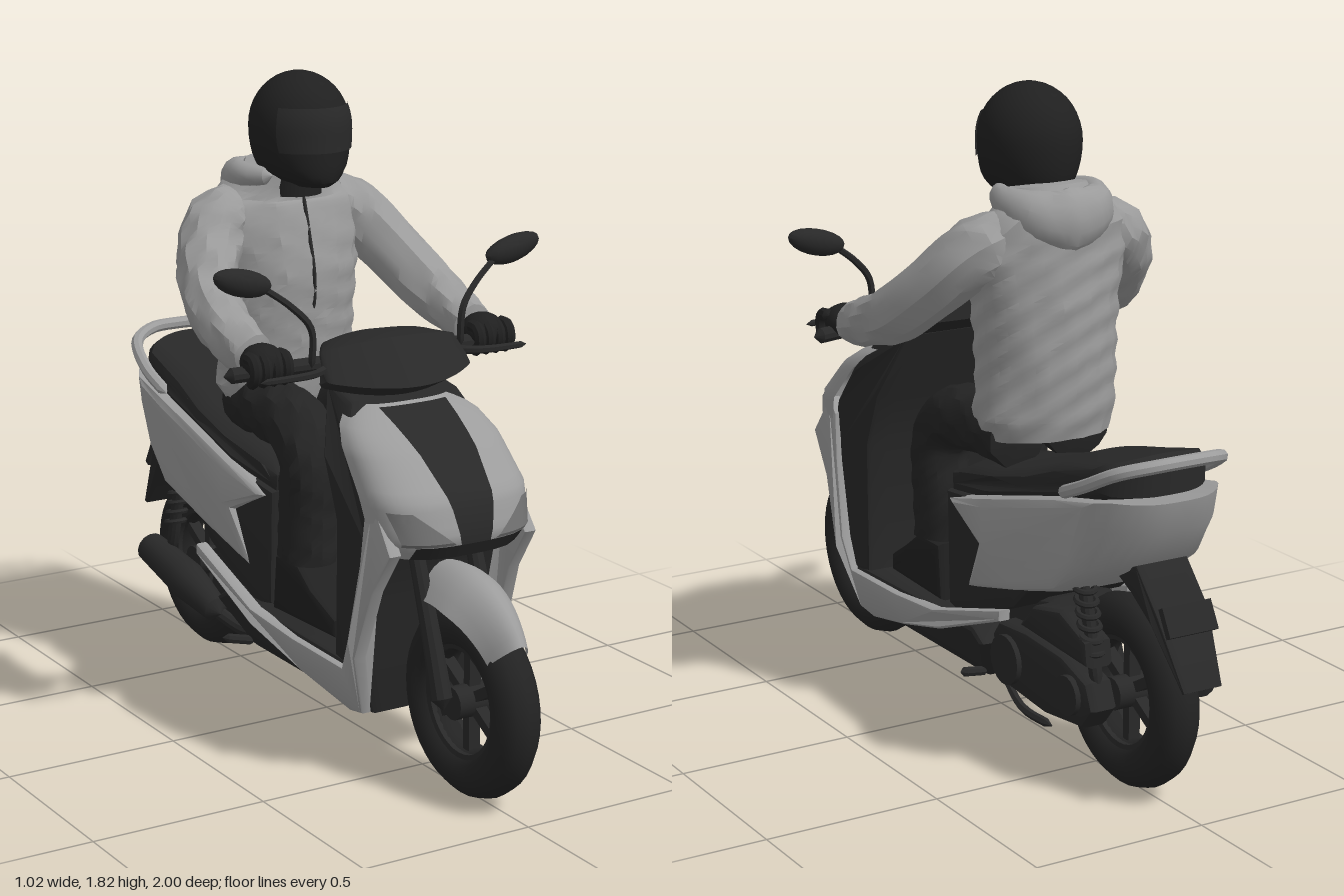
import * as THREE from 'three';
import { toCreasedNormals } from 'three/addons/utils/BufferGeometryUtils.js';

const mat = (name, hex) => {
  const m = new THREE.MeshStandardMaterial({ color: hex, side: THREE.DoubleSide });
  m.name = name;
  return m;
};
const V = (p) => new THREE.Vector3(...p);
const lerp = THREE.MathUtils.lerp;

// Linear lookup in rows [key, v1, v2, ...] with ascending keys
function table(rows, k) {
  let i = 0;
  while (i < rows.length - 2 && k > rows[i + 1][0]) i++;
  const t = THREE.MathUtils.clamp((k - rows[i][0]) / (rows[i + 1][0] - rows[i][0]), 0, 1);
  return rows[i].slice(1).map((v, j) => lerp(v, rows[i + 1][j + 1], t));
}

export function createModel() {
  const root = new THREE.Group();
  root.name = 'scooterAndRider';
  const paint = mat('silverPaint', 0x9c9c9c);
  const cloth = mat('jacketCloth', 0x9a9a9a);
  const plastic = mat('blackPlastic', 0x282828);
  const rubber = mat('tyreRubber', 0x232323);
  const pants = mat('trouserCloth', 0x242424);
  const gear = mat('helmetBlack', 0x202020);
  const steel = mat('discSteel', 0x999999);
  const lens = mat('lampLens', 0x727272);

  const add = (name, geo, m, parent = root, crease = 0.6) => {
    const mesh = new THREE.Mesh(toCreasedNormals(geo, crease), m);
    mesh.name = name;
    parent.add(mesh);
  };
  const warp = (geo, rule) => {
    const p = geo.attributes.position, v = new THREE.Vector3();
    for (let i = 0; i < p.count; i++) {
      rule(v.fromBufferAttribute(p, i));
      p.setXYZ(i, v.x, v.y, v.z);
    }
    return geo;
  };
  const pair = (fn) => [1, -1].forEach(fn);

  // Side outline of [z, y] points, extruded across x
  const slab = (pts, half, bevel = 0.015, cx = 0, steps = 8) => {
    const geo = new THREE.ExtrudeGeometry(new THREE.Shape(pts.map((p) => new THREE.Vector2(...p))), {
      depth: 2 * (half - bevel), steps, bevelEnabled: true, bevelSize: bevel,
      bevelThickness: bevel, bevelOffset: -bevel, bevelSegments: 2,
    });
    return geo.translate(0, 0, bevel - half).rotateY(-Math.PI / 2).translate(cx, 0, 0);
  };

  // Round section swept through points; radii are numbers or [rx, ry, rz]; ends closed
  const sweep = (pts, radii, seg = 16, sides = 10, fold = 0) => {
    const curve = new THREE.CatmullRomCurve3(pts.map(V));
    const geo = new THREE.TubeGeometry(curve, seg, 1, sides);
    const p = geo.attributes.position, d = new THREE.Vector3();
    const rows = radii.map((r, i) => [i / (radii.length - 1), ...(Array.isArray(r) ? r : [r, r, r])]);
    for (let i = 0; i < p.count; i++) {
      const ring = Math.floor(i / (sides + 1)), u = ring / seg;
      const c = curve.getPointAt(u), r = table(rows, curve.getUtoTmapping(u));
      const end = ring === 0 || ring === seg ? 0 : 1;
      d.fromBufferAttribute(p, i).sub(c).multiply(V(r)).multiplyScalar(end);
      const q = c.clone().add(d);
      d.multiplyScalar(1 + fold * Math.sin(q.x * 55 + q.y * 30) * Math.sin(q.y * 48 + q.z * 50 - q.x * 20));
      p.setXYZ(i, c.x + d.x, c.y + d.y, c.z + d.z);
    }
    return geo;
  };

  // Wheels
  const wheel = (name, z) => {
    const g = new THREE.Group();
    g.name = name;
    g.position.set(0, 0.265, z);
    root.add(g);
    add('tyre', new THREE.TorusGeometry(0.2, 0.065, 12, 40).rotateY(Math.PI / 2), rubber, g);
    const rim = [[0.142, -0.04], [0.16, -0.045], [0.16, 0.045], [0.142, 0.04], [0.142, -0.04]];
    add('rim', new THREE.LatheGeometry(rim.map((p) => new THREE.Vector2(...p)), 36).rotateZ(Math.PI / 2), plastic, g);
    add('hub', new THREE.CylinderGeometry(0.045, 0.045, 0.13, 16).rotateZ(Math.PI / 2), plastic, g);
    for (let i = 0; i < 6; i++)
      add('spoke', new THREE.BoxGeometry(0.035, 0.12, 0.028).translate(0, 0.09, 0).rotateX((i * Math.PI) / 3), plastic, g);
    return g;
  };
  const front = wheel('frontWheel', 0.735);
  wheel('rearWheel', -0.67);
  const disc = new THREE.Shape().absarc(0, 0, 0.1, 0, Math.PI * 2);
  for (let i = 0; i < 8; i++) {
    const a = (i * Math.PI) / 4;
    disc.holes.push(new THREE.Path().absarc(0.07 * Math.cos(a), 0.07 * Math.sin(a), 0.01, 0, Math.PI * 2, true));
  }
  add('brakeDisc', new THREE.ExtrudeGeometry(disc, { depth: 0.008, bevelEnabled: false }).rotateY(Math.PI / 2).translate(0.058, 0, 0), steel, front);
  add('brakeCaliper', new THREE.BoxGeometry(0.04, 0.06, 0.04).translate(0.07, 0.05, -0.085), plastic, front);

  // Front fork and mudguard
  pair((s) => add('forkLeg', sweep([[s * 0.09, 0.25, 0.735], [s * 0.09, 0.42, 0.68], [s * 0.09, 0.72, 0.57]], [0.03, 0.026, 0.02]), plastic));
  add('frontMudguard', warp(new THREE.PlaneGeometry(1, 1, 10, 12), (v) => {
    const t = v.y + 0.5, a = lerp(0.74, 1.9, t), w = lerp(0.06, 0.105, Math.min(1, t * 1.6));
    const r = 0.315 + 0.055 * t - 0.36 * v.x * v.x;
    v.set(2 * v.x * w, 0.265 + r * Math.sin(a), 0.725 + r * Math.cos(a));
  }), paint);

  // Front fairing: rows of height, half width, back z, front z
  const noseRows = [[0.66, 0.19, 0.58, 0.715], [0.71, 0.225, 0.58, 0.745], [0.81, 0.237, 0.55, 0.72],
    [0.92, 0.228, 0.45, 0.6], [0.97, 0.205, 0.4, 0.51], [1.01, 0.15, 0.35, 0.43]];
  const noseZ = (x, y) => {
    const [w, zb, zf] = table(noseRows, y);
    return zb + (zf - zb) * Math.pow(Math.max(0, 1 - Math.pow(Math.abs(x) / w, 2.8)), 1 / 2.8);
  };
  add('frontFairing', warp(new THREE.PlaneGeometry(1, 1, 28, 16), (v) => {
    const y = lerp(0.66, 1.01, v.y + 0.5), w = table(noseRows, y)[0];
    const x = w * Math.sin(v.x * Math.PI);
    v.set(x, y, noseZ(x, y));
  }), paint);
  const patch = (name, y0, y1, edges, m) => add(name, warp(new THREE.PlaneGeometry(1, 1, 8, 10), (v) => {
    const t = v.y + 0.5, y = lerp(y0, y1, t), [a, b] = edges(t), x = lerp(a, b, v.x + 0.5);
    v.set(x, y, noseZ(x, y) + 0.007);
  }), m);
  patch('centrePanel', 0.7, 1.005, (t) => [-0.045 - 0.06 * t, 0.045 + 0.06 * t], plastic);
  patch('grille', 0.662, 0.7, () => [-0.165, 0.165], plastic);
  patch('headlampRight', 0.702, 0.79, (t) => [-0.195 - 0.025 * t, -0.06 - 0.11 * t], lens);
  patch('headlampLeft', 0.702, 0.79, (t) => [0.06 + 0.11 * t, 0.195 + 0.025 * t], lens);

  // Leg shield, floor and side trim
  add('legShield', warp(slab([[0.4, 1.02], [0.25, 1.05], [0.33, 0.86], [0.395, 0.7], [0.39, 0.32], [0.5, 0.3],
    [0.54, 0.5], [0.57, 0.66], [0.6, 0.7], [0.57, 0.8], [0.47, 0.92]], 0.215), (v) => {
    if (v.y > 0.92) v.x *= 1 - (v.y - 0.92) * 2.2;
  }), plastic);
  add('floorPan', warp(slab([[0.5, 0.32], [0.46, 0.16], [-0.16, 0.165], [-0.26, 0.3], [-0.2, 0.335]], 0.215), (v) => {
    if (v.y < 0.26) v.x *= 1 - (0.26 - v.y) * 3.6;
  }), plastic);
  pair((s) => add('sideTrim', warp(slab([[0.69, 0.68], [0.6, 0.8], [0.56, 0.76], [0.545, 0.62], [0.5, 0.4], [0.46, 0.31],
    [0.2, 0.315], [-0.02, 0.335], [-0.36, 0.43], [-0.36, 0.4], [-0.04, 0.28], [0.2, 0.215], [0.42, 0.165],
    [0.49, 0.18], [0.54, 0.36], [0.61, 0.56]], 0.02, 0.007, s * 0.216, 1), (v) => {
    v.x *= table([[0.16, 0.76], [0.24, 0.93], [0.35, 1.04], [0.55, 1], [0.8, 0.96]], v.y)[0];
    if (v.z < -0.1) v.x *= 0.93;
  }), paint));

  // Seat base, tail body and seat
  add('seatBase', slab([[0, 0.67], [-0.01, 0.34], [-0.1, 0.32], [-0.36, 0.43], [-0.5, 0.56], [-0.3, 0.7]], 0.18), plastic);
  const tailRound = (v, w, amount) => {
    const k = THREE.MathUtils.clamp((-0.55 - v.z) / 0.3, 0, 1);
    v.z += amount * k * Math.pow(Math.abs(v.x) / w, 3);
  };
  add('tailBody', warp(slab([[-0.02, 0.655], [-0.2, 0.57], [-0.11, 0.415], [-0.37, 0.48], [-0.62, 0.55], [-0.78, 0.64],
    [-0.87, 0.76], [-0.89, 0.845], [-0.62, 0.81], [-0.23, 0.715]], 0.212, 0.03, 0, 12), (v) => {
    tailRound(v, 0.212, 0.13);
    v.x *= table([[-0.9, 0.9], [-0.6, 0.98], [-0.3, 1], [0, 0.9]], v.z)[0] * (v.y < 0.55 ? 0.93 : 1);
  }), paint);
  add('seat', warp(slab([[0, 0.66], [0.005, 0.72], [-0.06, 0.765], [-0.25, 0.805], [-0.4, 0.845], [-0.55, 0.9],
    [-0.8, 0.95], [-0.84, 0.93], [-0.84, 0.85], [-0.62, 0.79], [-0.23, 0.695]], 0.195, 0.03, 0, 12), (v) => {
    tailRound(v, 0.195, 0.1);
    const rim = Math.pow(Math.abs(v.x) / 0.195, 2);
    if (v.z < -0.02 && v.y > 0.73 - 0.2 * v.z) v.y -= 0.03 * rim;
    v.x *= table([[-0.85, 0.86], [-0.55, 0.93], [-0.35, 1], [0, 0.85]], v.z)[0];
  }), plastic);
  add('grabRail', sweep([[0.185, 0.82, -0.6], [0.188, 0.87, -0.72], [0.16, 0.925, -0.83], [0.08, 0.947, -0.885], [0, 0.95, -0.892],
    [-0.08, 0.947, -0.885], [-0.16, 0.925, -0.83], [-0.188, 0.87, -0.72], [-0.185, 0.82, -0.6]], [0.018, 0.018], 36, 8), paint);

  // Rear mudguard, plate holder, shock absorbers
  add('rearMudguard', warp(slab([[-0.7, 0.62], [-0.8, 0.66], [-0.9, 0.55], [-0.995, 0.37], [-0.985, 0.365], [-0.87, 0.52], [-0.78, 0.58]], 0.08, 0.004), (v) => {
    if (v.y < 0.5) v.x *= 1 - (0.5 - v.y) * 2;
  }), plastic);
  add('plateHolder', new THREE.BoxGeometry(0.15, 0.08, 0.02).rotateX(0.5).translate(0, 0.54, -0.925), plastic);
  pair((s) => {
    add('shockRod', sweep([[s * 0.125, 0.6, -0.62], [s * 0.125, 0.28, -0.7]], [0.018, 0.018], 6), plastic);
    for (let i = 0; i < 6; i++)
      add('shockCoil', new THREE.TorusGeometry(0.028, 0.008, 6, 14).rotateX(Math.PI / 2 - 0.24)
        .translate(s * 0.125, 0.56 - i * 0.032, -0.63 - i * 0.008), plastic);
  });

  // Engine, transmission case and exhaust
  add('engineBlock', slab([[-0.1, 0.3], [-0.2, 0.2], [-0.42, 0.17], [-0.5, 0.25], [-0.42, 0.46], [-0.25, 0.42]], 0.11, 0.03), plastic);
  add('transmissionCase', slab([[-0.2, 0.28], [-0.27, 0.19], [-0.5, 0.17], [-0.68, 0.19], [-0.73, 0.25], [-0.7, 0.32],
    [-0.58, 0.36], [-0.4, 0.37], [-0.26, 0.36]], 0.045, 0.02, 0.125), plastic);
  add('airBox', slab([[-0.36, 0.38], [-0.7, 0.36], [-0.69, 0.43], [-0.56, 0.48], [-0.42, 0.45]], 0.045, 0.02, 0.12), plastic);
  [[-0.32, 0.07], [-0.63, 0.055]].forEach(([z, r]) =>
    add('caseCover', new THREE.CylinderGeometry(r, r, 0.02, 18).rotateZ(Math.PI / 2).translate(0.175, 0.27, z), plastic));
  add('exhaustPipe', sweep([[-0.06, 0.24, -0.12], [-0.1, 0.17, -0.25], [-0.14, 0.2, -0.42]], [0.02, 0.02]), plastic);
  add('muffler', sweep([[-0.145, 0.2, -0.36], [-0.15, 0.25, -0.55], [-0.155, 0.3, -0.8]], [0.035, 0.058, 0.045], 16, 14), plastic);
  add('centreStand', sweep([[0.13, 0.2, -0.22], [0.15, 0.14, -0.36], [0.14, 0.13, -0.5]], [0.012, 0.012], 10, 6), plastic);
  pair((s) => add('footPeg', sweep([[s * 0.14, 0.18, -0.16], [s * 0.24, 0.2, -0.18]], [0.014, 0.014], 6, 8), plastic));

  // Handlebar cover, grips, levers and mirrors
  add('handlebarCover', warp(slab([[0.47, 1.055], [0.43, 1.1], [0.365, 1.17], [0.28, 1.175], [0.2, 1.155], [0.2, 1.09], [0.275, 1.04], [0.4, 1.02]], 0.225, 0.012, 0, 12), (v) => {
    const k = Math.abs(v.x) / 0.225;
    v.y = lerp(v.y, 1.1, 0.4 * k * k);
    v.z -= 0.09 * k * k * Math.max(0, (v.z - 0.22) / 0.25);
    v.x *= table([[0.2, 0.62], [0.33, 1]], v.z)[0];
  }), plastic);
  pair((s) => {
    add('grip', sweep([[s * 0.1, 1.1, 0.28], [s * 0.32, 1.095, 0.255], [s * 0.46, 1.09, 0.235]], [0.022, 0.022]), plastic);
    add('brakeLever', sweep([[s * 0.2, 1.1, 0.33], [s * 0.27, 1.1, 0.37], [s * 0.42, 1.095, 0.36]], [0.013, 0.009], 12, 6), plastic);
    add('mirrorStem', sweep([[s * 0.235, 1.1, 0.31], [s * 0.24, 1.21, 0.315], [s * 0.29, 1.27, 0.3], [s * 0.37, 1.33, 0.28]], [0.011, 0.009], 16, 6), plastic);
    add('mirror', warp(new THREE.SphereGeometry(1, 16, 10), (v) => {
      const out = v.x * s, drop = v.y < 0 ? 0.042 : 0.034;
      v.set(s * 0.425 + v.x * 0.087, 1.35 + v.y * drop + out * 0.018, 0.278 + v.z * 0.032);
    }), plastic);
  });

  // Rider: jacket
  const rider = new THREE.Group();
  rider.name = 'rider';
  root.add(rider);
  add('jacketBody', sweep([[0, 0.85, -0.235], [0, 0.93, -0.23], [0, 1.08, -0.23], [0, 1.25, -0.228], [0, 1.38, -0.24], [0, 1.46, -0.25], [0, 1.52, -0.235], [0, 1.57, -0.22]],
    [[0.17, 0.1, 0.13], [0.205, 0.1, 0.15], [0.2, 0.1, 0.16], [0.21, 0.1, 0.163], [0.235, 0.1, 0.142], [0.215, 0.1, 0.125], [0.14, 0.06, 0.11], [0.1, 0.04, 0.095]], 36, 32, 0.04), cloth, rider, 0.5);
  add('hood', sweep([[0.09, 1.53, -0.14], [0.13, 1.52, -0.23], [0.1, 1.49, -0.315], [0, 1.47, -0.345], [-0.1, 1.49, -0.315], [-0.13, 1.52, -0.23], [-0.09, 1.53, -0.14]],
    [[0.02, 0.02, 0.02], [0.035, 0.04, 0.04], [0.05, 0.07, 0.055], [0.06, 0.09, 0.06], [0.05, 0.07, 0.055], [0.035, 0.04, 0.04], [0.02, 0.02, 0.02]], 28, 14, 0.04), cloth, rider);
  add('zip', sweep([[0, 1.15, -0.07], [0, 1.25, -0.065], [0, 1.38, -0.098], [0, 1.48, -0.128]], [0.006, 0.006], 14, 6), plastic, rider);
  pair((s) => {
    add('sleeve', sweep([[s * 0.13, 1.43, -0.25], [s * 0.215, 1.395, -0.23], [s * 0.295, 1.29, -0.14], [s * 0.338, 1.2, -0.02], [s * 0.35, 1.15, 0.11], [s * 0.348, 1.12, 0.22]],
      [0.075, 0.092, 0.084, 0.079, 0.07, 0.056], 30, 18, 0.09), cloth, rider, 0.5);
    // gloves
    add('glove', new THREE.SphereGeometry(1, 14, 10).scale(0.06, 0.05, 0.065).translate(s * 0.35, 1.12, 0.25), gear, rider);
    for (let i = 0; i < 4; i++) {
      const x = s * (0.305 + i * 0.032);
      add('finger', sweep([[x, 1.14, 0.25], [x, 1.135, 0.295], [x, 1.095, 0.305], [x, 1.065, 0.27]], [0.018, 0.016], 10, 8), gear, rider);
    }
    // legs and shoes
    add('trouserLeg', sweep([[s * 0.09, 0.88, -0.27], [s * 0.11, 0.88, -0.1], [s * 0.12, 0.855, 0.06], [s * 0.125, 0.78, 0.115], [s * 0.13, 0.63, 0.11], [s * 0.13, 0.48, 0.105]],
      [0.1, 0.092, 0.088, 0.085, [0.075, 0.08, 0.09], [0.075, 0.08, 0.098]], 30, 16, 0.06), pants, rider, 0.5);
    add('shoe', warp(slab([[0.33, 0.338], [0.325, 0.39], [0.22, 0.45], [0.15, 0.5], [0.03, 0.5], [0.015, 0.338]], 0.055, 0.016, s * 0.135), (v) => {
      if (v.z > 0.25) v.x = lerp(v.x, s * 0.135, (v.z - 0.25) * 4);
    }), gear, rider);
  });

  // Helmet with visor; the chin drops forward and the back edge is cut higher
  const shell = (v) => {
    const low = Math.max(0, -v.y), chin = THREE.MathUtils.clamp(v.z * 2, -0.5, 1);
    const y = 1.662 + v.y * (v.y > 0 ? 0.153 : 0.172);
    v.set(v.x * 0.137, Math.max(y, 1.53 - 0.04 * Math.max(0, chin)), -0.147 + v.z * 0.155 + 0.09 * low * low * chin);
  };
  add('neck', new THREE.CylinderGeometry(0.07, 0.08, 0.14, 16).translate(0, 1.54, -0.18), gear, rider);
  add('helmet', warp(new THREE.SphereGeometry(1, 28, 20), shell), gear, rider);
  add('visor', warp(new THREE.SphereGeometry(1.03, 20, 8, Math.PI * 0.17, Math.PI * 0.66, Math.PI * 0.36, Math.PI * 0.24), shell), plastic, rider);
  return root;
}
